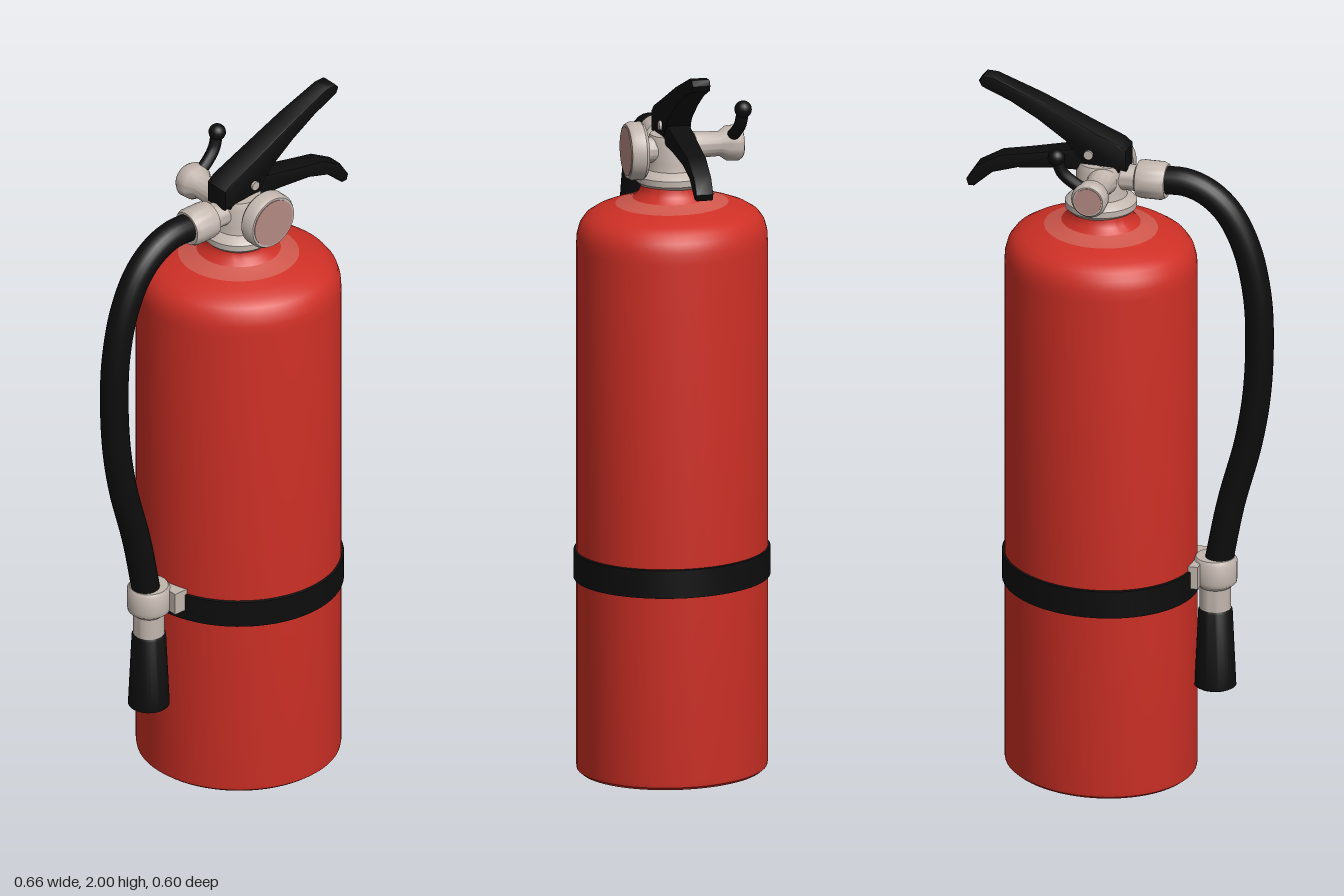
import * as THREE from 'three';
import { toCreasedNormals } from 'three/addons/utils/BufferGeometryUtils.js';

const material = (name, color) => {
  const m = new THREE.MeshStandardMaterial({ color });
  m.name = name;
  return m;
};

export function createModel() {
  const red = material('tank red', 0xcf3026);
  const paleRed = material('worn red', 0xcf574c);
  const black = material('rubber black', 0x0d0d0d);
  const silver = material('valve silver', 0xc2b6ae);
  const rose = material('dial rose', 0xb58a84);

  const model = new THREE.Group();
  model.name = 'fireExtinguisher';

  const add = (parent, name, geometry, mat) => {
    const mesh = new THREE.Mesh(geometry, mat);
    mesh.name = name;
    parent.add(mesh);
    return mesh;
  };
  const vectors = (points) => points.map(([x, y]) => new THREE.Vector2(x, y));
  const lathe = (points, segments = 64) =>
    toCreasedNormals(new THREE.LatheGeometry(vectors(points), segments), 0.7);

  // Slightly oval tank, turned as one stack of profiles
  const tank = new THREE.Group();
  tank.name = 'tank';
  tank.position.set(0.04, 0, -0.035);
  tank.scale.z = 0.913;
  model.add(tank);
  add(tank, 'tankBody', lathe([[0, 0], [0.268, 0], [0.278, 0.008], [0.28, 0.02], [0.28, 1.47],
    [0.278, 1.5], [0.27, 1.527], [0.255, 1.547], [0.23, 1.562], [0.2, 1.573], [0.165, 1.583]]), red);
  add(tank, 'shoulderPatch', lathe([[0.165, 1.583], [0.14, 1.59], [0.115, 1.6]]), paleRed);
  add(tank, 'tankNeck', lathe([[0.115, 1.6], [0.098, 1.615], [0.092, 1.63], [0.09, 1.65]]), red);
  add(tank, 'strap', lathe([[0.279, 0.538], [0.287, 0.54], [0.287, 0.618], [0.279, 0.62]]), black);

  // Everything above and beside the tank lies along one diagonal: local +x is the handle side
  const rig = new THREE.Group();
  rig.name = 'valveAndHose';
  rig.position.set(0.04, 0, -0.035);
  rig.rotation.y = 0.732;
  model.add(rig);

  // Valve body with collar
  add(rig, 'valve', lathe([[0, 1.635], [0.088, 1.635], [0.098, 1.645], [0.098, 1.662], [0.088, 1.672],
    [0.072, 1.68], [0.068, 1.7], [0.068, 1.755], [0.06, 1.775], [0, 1.775]], 40), silver);

  // Pressure gauge on one side of the valve
  const turned = (name, points, mat, z, direction) => {
    const mesh = add(rig, name, lathe(points, 40), mat);
    mesh.position.set(0.012, 1.735, z);
    mesh.rotation.x = direction * Math.PI / 2;
    return mesh;
  };
  turned('gaugeCase', [[0, 0], [0.035, 0], [0.035, 0.035], [0.072, 0.037], [0.08, 0.046],
    [0.08, 0.076], [0.074, 0.086], [0, 0.086]], silver, 0.045, 1);
  turned('gaugeFace', [[0.068, 0], [0.068, 0.003], [0, 0.003]], rose, 0.13, 1);

  // Side stub with flared end on the other side
  const stub = turned('sideStub', [[0, 0], [0.042, 0], [0.036, 0.03], [0.034, 0.09], [0.048, 0.11],
    [0.05, 0.14], [0.042, 0.152], [0, 0.152]], silver, -0.045, -1);
  const stubFace = turned('stubFace', [[0.038, 0], [0.038, 0.003], [0, 0.003]], rose, -0.196, -1);
  stub.position.x = stubFace.position.x = -0.015;

  // Pull pin leaning up from the stub
  const pinPath = new THREE.CatmullRomCurve3([[-0.01, 1.75, -0.165], [0.03, 1.775, -0.17],
    [0.062, 1.805, -0.176], [0.078, 1.85, -0.18]].map((p) => new THREE.Vector3(...p)));
  add(rig, 'pullPin', new THREE.TubeGeometry(pinPath, 16, 0.017, 12), black);
  add(rig, 'pinKnob', new THREE.SphereGeometry(0.024, 16, 12), black).position.set(0.078, 1.85, -0.18);

  // Levers: side outline extruded across, narrowing toward the tip
  const lever = (name, outline, width, tipWidth) => {
    const bevel = 0.006;
    const geometry = new THREE.ExtrudeGeometry(new THREE.Shape(vectors(outline)), {
      depth: width - 2 * bevel, bevelThickness: bevel, bevelSize: bevel,
      bevelOffset: -bevel, bevelSegments: 2,
    });
    geometry.translate(0, 0, bevel - width / 2);
    const p = geometry.attributes.position;
    for (let i = 0; i < p.count; i++) {
      const t = THREE.MathUtils.clamp(p.getX(i) / 0.35, 0, 1);
      p.setZ(i, p.getZ(i) * THREE.MathUtils.lerp(1, tipWidth / width, t));
    }
    return add(rig, name, toCreasedNormals(geometry, 0.7), black);
  };
  lever('upperLever', [[-0.08, 1.765], [0.05, 1.78], [0.09, 1.835], [0.17, 1.89], [0.25, 1.935],
    [0.33, 1.968], [0.338, 1.985], [0.325, 2], [0.295, 1.998], [0.17, 1.948], [0, 1.868],
    [-0.06, 1.842], [-0.08, 1.825]], 0.078, 0.05);
  lever('lowerLever', [[-0.06, 1.755], [0.12, 1.752], [0.23, 1.74], [0.3, 1.718], [0.352, 1.672],
    [0.368, 1.672], [0.374, 1.69], [0.345, 1.735], [0.28, 1.772], [0.2, 1.787], [0.1, 1.808],
    [0.04, 1.82], [-0.06, 1.82]], 0.07, 0.05);
  const pivot = add(rig, 'leverPivot', new THREE.CylinderGeometry(0.013, 0.013, 0.088, 16), silver);
  pivot.position.set(0.025, 1.805, 0);
  pivot.rotation.x = Math.PI / 2;

  // Hose coupling
  const coupling = add(rig, 'hoseCoupling', lathe([[0, 0], [0.036, 0], [0.036, 0.05], [0.05, 0.056],
    [0.053, 0.07], [0.053, 0.125], [0.047, 0.137], [0, 0.137]], 32), silver);
  coupling.position.set(-0.05, 1.735, 0);
  coupling.rotation.z = Math.PI / 2;

  // Hose arching over and down to the nozzle
  const hosePath = new THREE.CatmullRomCurve3([[0.17, 1.737], [0.24, 1.737], [0.302, 1.713],
    [0.36, 1.66], [0.41, 1.56], [0.44, 1.42], [0.446, 1.28], [0.438, 1.13], [0.415, 0.99],
    [0.365, 0.8], [0.328, 0.61]].map(([t, y]) => new THREE.Vector3(-t, y, 0)));
  add(rig, 'hose', new THREE.TubeGeometry(hosePath, 80, 0.039, 20), black);

  // Nozzle, its silver neck, and the bracket holding it to the strap
  const nozzle = new THREE.Group();
  nozzle.name = 'nozzle';
  nozzle.position.x = -0.322;
  rig.add(nozzle);
  add(nozzle, 'nozzleNeck', lathe([[0, 0.48], [0.043, 0.48], [0.043, 0.555], [0.058, 0.568],
    [0.06, 0.58], [0.06, 0.632], [0.053, 0.643], [0, 0.643]], 32), silver);
  add(nozzle, 'nozzleHorn', lathe([[0, 0.27], [0.045, 0.27], [0.05, 0.26], [0.057, 0.264],
    [0.047, 0.485], [0.042, 0.493], [0, 0.493]], 32), black);
  add(rig, 'hoseBracket', new THREE.BoxGeometry(0.05, 0.065, 0.15), silver).position.set(-0.267, 0.602, 0);

  return model;
}
